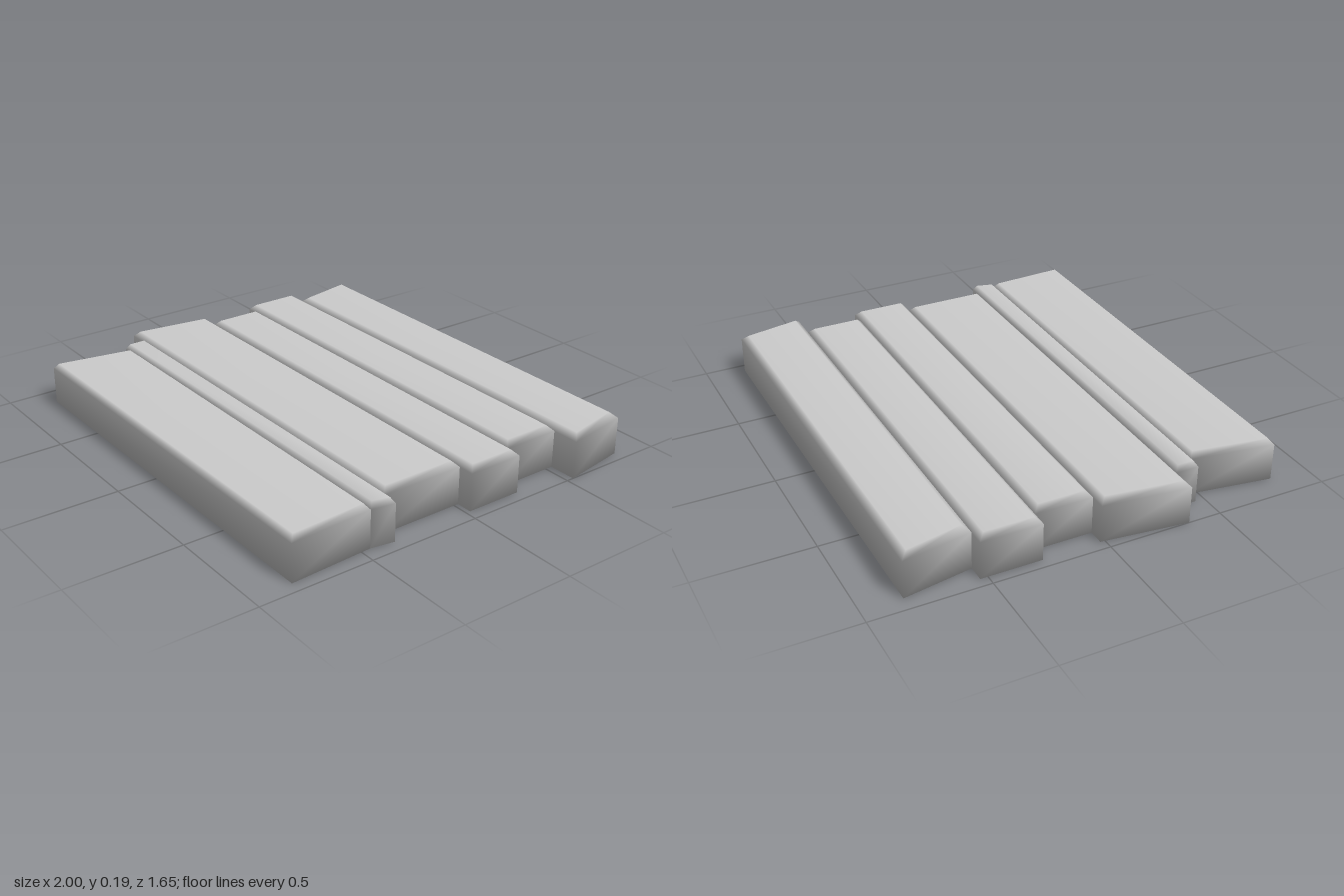
import * as THREE from 'three';

const HEIGHT = 0.19;
const SHOULDER = 0.165;

// One plank: bottom ring, shoulder ring and inset top ring, smoothly shaded.
function plankGeometry({ back, front, bevel }) {
  const [zb, lb, rb] = back;
  const [zf, lf, rf] = front;
  // corners run counter-clockwise seen from above
  const ring = (y, i) => [
    lf + i, y, zf - i,
    rf - i, y, zf - i,
    rb - i, y, zb + i,
    lb + i, y, zb + i,
  ];
  const positions = [...ring(0, 0), ...ring(SHOULDER, 0), ...ring(HEIGHT, bevel)];
  const index = [0, 2, 1, 0, 3, 2, 8, 9, 10, 8, 10, 11]; // bottom and top
  for (let level = 0; level < 2; level++) {
    for (let k = 0; k < 4; k++) {
      const a = level * 4 + k;
      const b = level * 4 + (k + 1) % 4;
      index.push(a, b, b + 4, a, b + 4, a + 4);
    }
  }
  const geometry = new THREE.BufferGeometry();
  geometry.setAttribute('position', new THREE.Float32BufferAttribute(positions, 3));
  geometry.setIndex(index);
  geometry.computeVertexNormals();
  return geometry;
}

export function createModel() {
  const model = new THREE.Group();
  model.name = 'plankFloor';
  const material = new THREE.MeshStandardMaterial({ color: 0xcccccc });

  // Each edge: z, left end x, right end x; planks listed back to front
  const planks = [
    { back: [-0.83, -0.935, 0.95], front: [-0.532, -0.885, 1.0], bevel: 0.028 },
    { back: [-0.532, -0.957, 0.878], front: [-0.27, -0.957, 0.878], bevel: 0.025 },
    { back: [-0.27, -0.888, 0.948], front: [-0.02, -0.888, 0.948], bevel: 0.025 },
    { back: [-0.02, -0.955, 0.878], front: [0.355, -1.0, 0.878], bevel: 0.025 },
    { back: [0.355, -0.888, 0.948], front: [0.458, -0.888, 0.93], bevel: 0.016 },
    { back: [0.458, -0.832, 0.93], front: [0.825, -0.888, 0.948], bevel: 0.02 },
  ];
  planks.forEach((plank, i) => {
    const mesh = new THREE.Mesh(plankGeometry(plank), material);
    mesh.name = `plank${i + 1}`;
    model.add(mesh);
  });
  return model;
}
